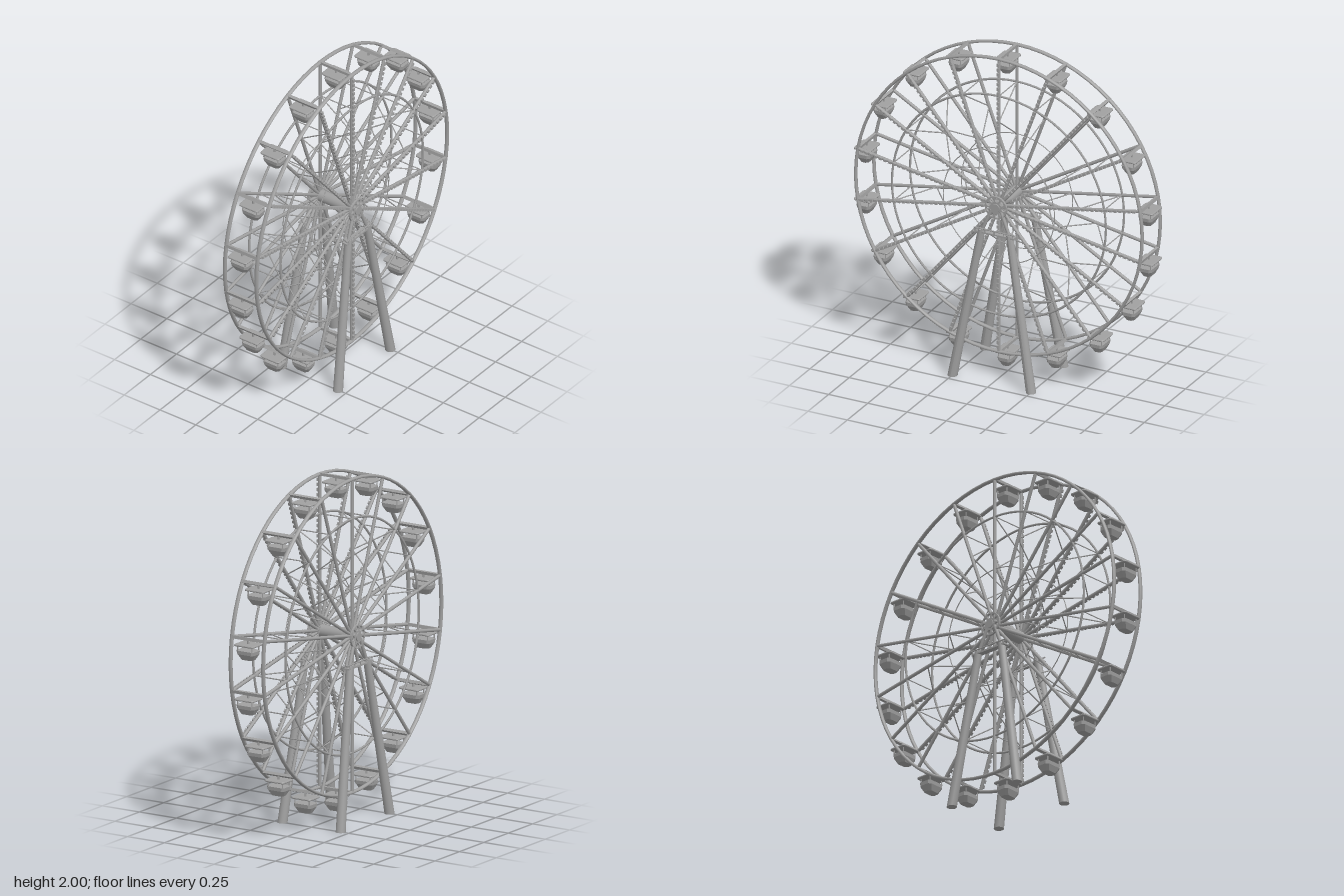
import * as THREE from 'three';

const V = (x, y, z) => new THREE.Vector3(x, y, z);
const steel = new THREE.MeshStandardMaterial({ color: 0xa0a0a0 });
steel.name = 'grey steel';

const COUNT = 18, AXLE_Y = 1.078, RIM = 0.913, RING_Z = 0.11;

function add(parent, name, geometry, x = 0, y = 0, z = 0) {
  const mesh = new THREE.Mesh(geometry, steel);
  mesh.name = name;
  mesh.position.set(x, y, z);
  parent.add(mesh);
  return mesh;
}

// Round bar between two points
function bar(parent, name, a, b, r, sides = 6) {
  const mesh = add(parent, name, new THREE.CylinderGeometry(r, r, a.distanceTo(b), sides));
  mesh.position.copy(a).lerp(b, 0.5);
  mesh.quaternion.setFromUnitVectors(V(0, 1, 0), b.clone().sub(a).normalize());
  return mesh;
}

// Round leg with level ends, made by shearing a vertical cylinder
function leg(parent, a, b, rTop, rBottom) {
  const h = b.y - a.y;
  const g = new THREE.CylinderGeometry(rTop, rBottom, h, 16);
  g.translate(0, h / 2, 0);
  const sx = (b.x - a.x) / h, sz = (b.z - a.z) / h;
  g.applyMatrix4(new THREE.Matrix4().set(1, sx, 0, a.x, 0, 1, 0, a.y, 0, sz, 1, a.z, 0, 0, 0, 1));
  g.computeVertexNormals();
  add(parent, 'supportLeg', g);
}

// Square tub from stacked rectangular sections [y, half x, half z]
function tubGeometry() {
  const rows = [[-0.118, 0.026, 0.04], [-0.085, 0.041, 0.058], [-0.064, 0.043, 0.06]];
  const pos = [], idx = [];
  for (const [y, x, z] of rows) {
    const c = 0.014;
    pos.push(x, y, z - c, x, y, c - z, x - c, y, -z, c - x, y, -z, -x, y, c - z, -x, y, z - c, c - x, y, z, x - c, y, z);
  }
  for (let r = 0; r < 2; r++) for (let i = 0; i < 8; i++) {
    const a = r * 8 + i, b = r * 8 + (i + 1) % 8;
    idx.push(a, b, b + 8, a, b + 8, a + 8);
  }
  for (let i = 1; i < 7; i++) idx.push(0, i + 1, i, 16, 16 + i, 17 + i);
  const g = new THREE.BufferGeometry();
  g.setAttribute('position', new THREE.Float32BufferAttribute(pos, 3));
  g.setIndex(idx);
  const flat = g.toNonIndexed();
  flat.computeVertexNormals();
  return flat;
}

// Shallow roof: plate with rounded corners and a bevel
function roofGeometry() {
  const x = 0.049, z = 0.06, r = 0.01;
  const s = new THREE.Shape();
  s.absarc(x - r, z - r, r, 0, Math.PI / 2);
  s.absarc(r - x, z - r, r, Math.PI / 2, Math.PI);
  s.absarc(r - x, r - z, r, Math.PI, Math.PI * 1.5);
  s.absarc(x - r, r - z, r, Math.PI * 1.5, Math.PI * 2);
  const g = new THREE.ExtrudeGeometry(s, {
    depth: 0.004, bevelSize: 0.006, bevelThickness: 0.004, bevelSegments: 2, curveSegments: 3,
  });
  return g.rotateX(-Math.PI / 2);
}

function makeGondola(tub, roof) {
  const g = new THREE.Group();
  g.name = 'gondola';
  add(g, 'cabinTub', tub);
  add(g, 'cabinRoof', roof, 0, -0.034, 0);
  for (const x of [-1, 1]) for (const z of [-1, 1])
    add(g, 'roofPost', new THREE.BoxGeometry(0.005, 0.036, 0.005), x * 0.035, -0.049, z * 0.048);
  add(g, 'hanger', new THREE.CylinderGeometry(0.007, 0.007, 0.03, 8), 0, -0.014, 0);
  return g;
}

// Hub plate with a circle of holes
function hubPlate() {
  const s = new THREE.Shape().absarc(0, 0, 0.07, 0, Math.PI * 2);
  for (let i = 0; i < 9; i++) {
    const a = i * Math.PI * 2 / 9;
    s.holes.push(new THREE.Path().absarc(0.05 * Math.cos(a), 0.05 * Math.sin(a), 0.014, 0, Math.PI * 2, true));
  }
  return new THREE.ExtrudeGeometry(s, { depth: 0.012, bevelEnabled: false, curveSegments: 12 });
}

export function createModel() {
  const model = new THREE.Group();
  model.name = 'ferrisWheel';
  const wheel = new THREE.Group();
  wheel.name = 'wheel';
  wheel.position.y = AXLE_Y;
  model.add(wheel);

  // Rim and inner rings on both sides
  const rim = new THREE.TorusGeometry(RIM, 0.009, 8, 72).scale(1, 1, 1.5);
  for (const s of [-1, 1]) {
    add(wheel, 'outerRim', rim, 0, 0, s * RING_Z);
    add(wheel, 'middleRing', new THREE.TorusGeometry(0.682, 0.007, 6, 72), 0, 0, s * RING_Z);
    add(wheel, 'innerRing', new THREE.TorusGeometry(0.355, 0.003, 6, 54), 0, 0, s * RING_Z);
  }

  // Spokes, lamps, cross bars, bracing and gondolas
  const tub = tubGeometry(), roof = roofGeometry();
  const lamp = new THREE.BoxGeometry(0.014, 0.018, 0.01);
  for (let i = 0; i < COUNT; i++) {
    const a = i * Math.PI * 2 / COUNT;
    const at = (r, z) => V(r * Math.sin(a), r * Math.cos(a), z);
    for (const s of [-1, 1]) bar(wheel, 'spoke', at(0.03, s * RING_Z), at(RIM, s * RING_Z), 0.01, 8);

    for (let r = 0.1; r < 0.9; r += 0.03) {
      const p = at(r, RING_Z + 0.013);
      add(wheel, 'spokeLamp', lamp, p.x, p.y, p.z).rotation.z = -a;
    }

    const cross = add(wheel, 'rimCrossBar', new THREE.BoxGeometry(0.018, 0.016, 2 * RING_Z));
    cross.position.copy(at(RIM, 0));
    cross.rotation.z = -a;
    bar(wheel, 'ringCrossBar', at(0.682, -RING_Z), at(0.682, RING_Z), 0.0035, 5);

    // Zigzag bracing between the front and back spokes
    const stops = [0.682, 0.52, 0.355, 0.2];
    const flip = i % 2 ? 1 : -1;
    for (let k = 0; k < 3; k++) {
      const side = flip * (k % 2 ? -1 : 1) * RING_Z;
      bar(wheel, 'brace', at(stops[k], side), at(stops[k + 1], -side), 0.0038, 5);
    }

    const gondola = makeGondola(tub, roof);
    gondola.position.copy(at(RIM, 0));
    wheel.add(gondola);
  }

  // Axle and hub
  add(wheel, 'axle', new THREE.CylinderGeometry(0.036, 0.036, 0.27, 24).rotateX(Math.PI / 2));
  const plate = hubPlate();
  for (const s of [-1, 1]) {
    add(wheel, 'hubPlate', plate, 0, 0, s * 0.145 - 0.006);
    add(wheel, 'hubCap', new THREE.CylinderGeometry(0.026, 0.026, 0.02, 16).rotateX(Math.PI / 2), 0, 0, s * 0.148);
  }

  // Support legs, narrow struts up to the hub, and service platforms
  for (const s of [-1, 1]) {
    for (const x of [-1, 1]) {
      leg(model, V(x * 0.25, 0, s * 0.197), V(x * 0.088, 0.93, s * 0.15), 0.022, 0.029);
      bar(model, 'hubStrut', V(x * 0.088, 0.92, s * 0.15), V(x * 0.03, 1.06, s * 0.143), 0.01, 10);
    }
    add(model, 'platform', new THREE.BoxGeometry(0.25, 0.01, 0.035), 0, 0.915, s * 0.152);
    bar(model, 'platformRail', V(-0.13, 0.938, s * 0.167), V(0.13, 0.938, s * 0.167), 0.004);
    for (let i = 0; i < 5; i++) {
      const x = -0.116 + i * 0.058;
      bar(model, 'railPost', V(x, 0.915, s * 0.167), V(x, 0.938, s * 0.167), 0.003);
    }
  }
  return model;
}
